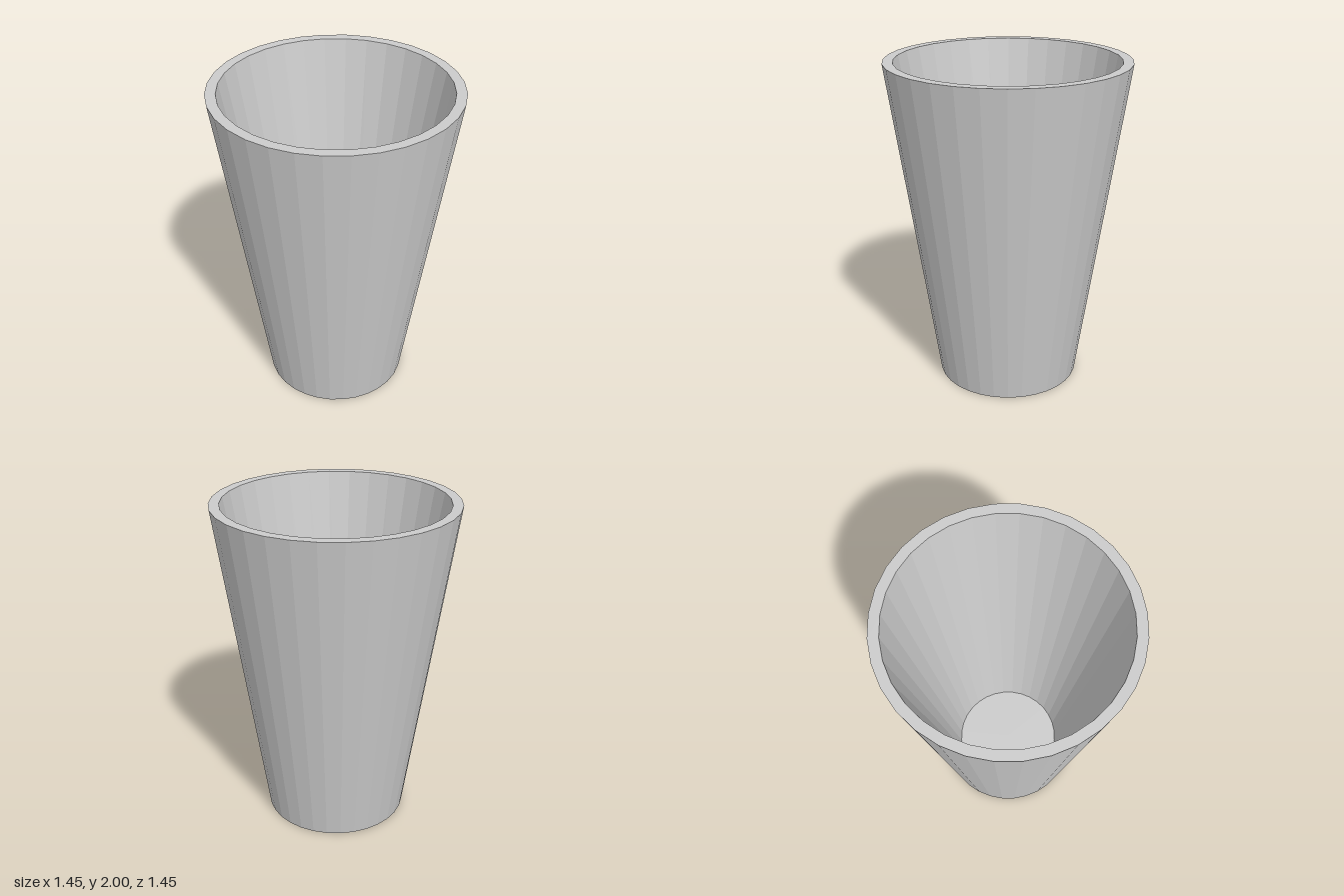
import * as THREE from 'three';

const SIDES = 32;
const HEIGHT = 2;
const FLOOR = 0.1;

export function createModel() {
  const group = new THREE.Group();
  group.name = 'tumbler';
  const material = new THREE.MeshStandardMaterial({ color: 0xcccccc, flatShading: true });

  // Closed profile: underside, outer wall, rim, inner wall, inner floor
  const profile = [
    [0, 0],
    [0.435, 0],
    [0.723, HEIGHT],
    [0.662, HEIGHT],
    [0.331, FLOOR],
    [0, FLOOR],
  ].map(([r, y]) => new THREE.Vector2(r, y));

  const cup = new THREE.Mesh(new THREE.LatheGeometry(profile, SIDES), material);
  cup.name = 'cup';
  group.add(cup);
  return group;
}
